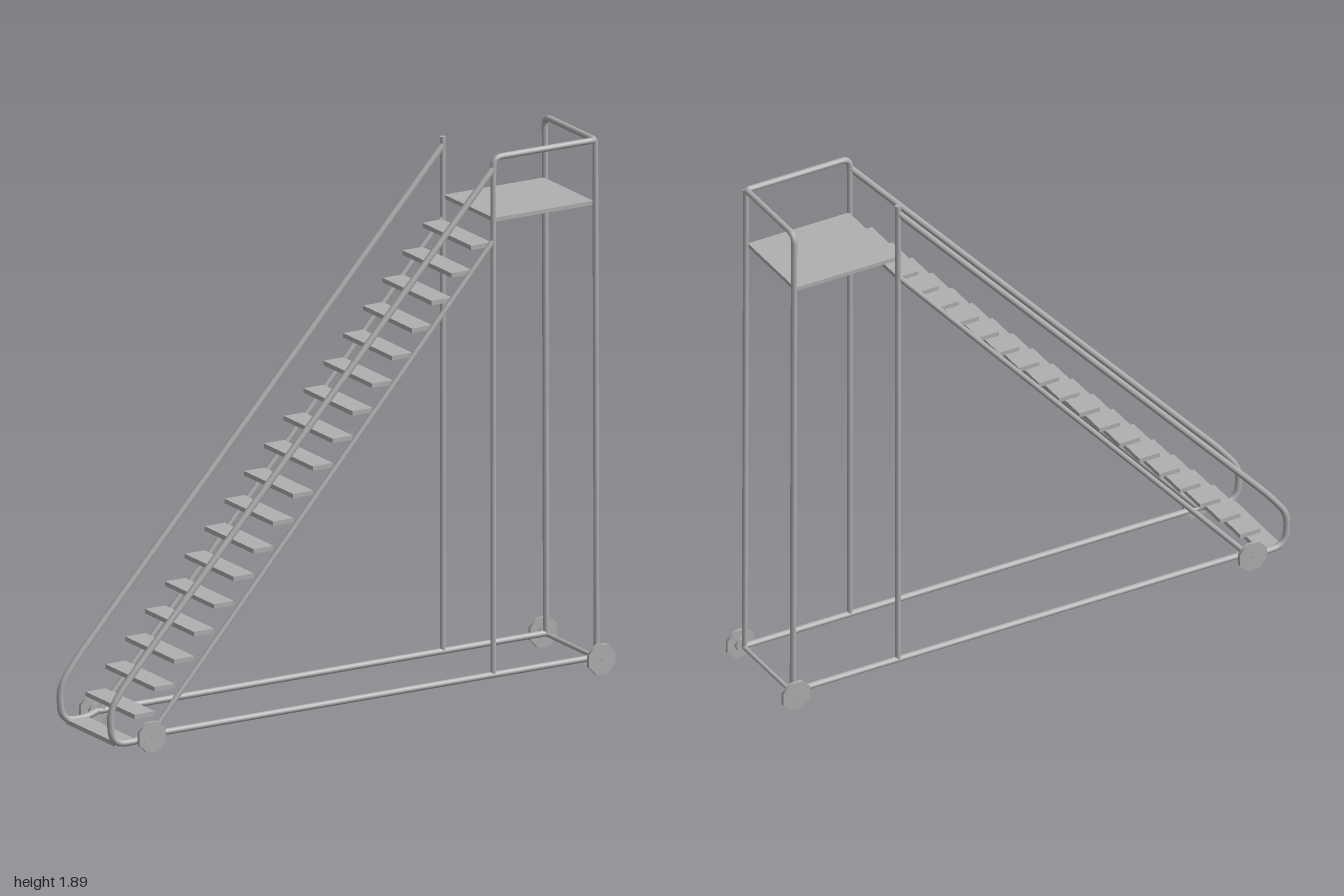
import * as THREE from 'three';
import { mergeGeometries } from 'three/addons/utils/BufferGeometryUtils.js';

const SIDE_Z = 0.165; // side frames sit at +z and -z

// Straight capped pipe between two points
function rod(a, b, r) {
  const dir = b.clone().sub(a);
  const g = new THREE.CylinderGeometry(r, r, dir.length(), 10);
  g.applyQuaternion(new THREE.Quaternion().setFromUnitVectors(new THREE.Vector3(0, 1, 0), dir.normalize()));
  const m = a.clone().add(b).multiplyScalar(0.5);
  return g.translate(m.x, m.y, m.z);
}

// Bent pipe: straight runs joined by rounded corners; each point is [x, y, z, bend]
function pipe(points, r) {
  const p = points.map((q) => new THREE.Vector3(q[0], q[1], q[2]));
  const parts = [];
  let start = p[0];
  for (let i = 1; i < p.length; i++) {
    if (i === p.length - 1) {
      parts.push(rod(start, p[i], r));
      break;
    }
    const bend = points[i][3];
    const before = p[i].clone().add(p[i - 1].clone().sub(p[i]).setLength(bend));
    const after = p[i].clone().add(p[i + 1].clone().sub(p[i]).setLength(bend));
    parts.push(rod(start, before, r));
    parts.push(new THREE.TubeGeometry(new THREE.QuadraticBezierCurve3(before, p[i], after), 10, r, 10));
    start = after;
  }
  return mergeGeometries(parts);
}

export function createModel() {
  const model = new THREE.Group();
  model.name = 'rollingStairs';
  const steel = new THREE.MeshStandardMaterial({ color: 0xb0b0b0 });
  steel.name = 'grey steel';

  function add(name, geometry, x = 0, y = 0, z = 0) {
    const mesh = new THREE.Mesh(geometry, steel);
    mesh.name = name;
    mesh.position.set(x, y, z);
    model.add(mesh);
    return mesh;
  }

  // Treads, climbing towards +x
  const tread = new THREE.BoxGeometry(0.08, 0.016, 0.32);
  for (let i = 0; i < 19; i++) add('tread', tread, -0.93 + i * 0.0785, 0.047 + i * 0.0855, 0);

  // Platform
  add('platform', new THREE.BoxGeometry(0.395, 0.014, 0.325), 0.729, 1.672, 0);

  // Mirrored side frames
  for (const s of [1, -1]) {
    const z = s * SIDE_Z;
    add('handrail', pipe([
      [0.527, 1.856, z], [-0.925, 0.262, z, 0.07], [-0.993, 0.17, z, 0.045],
      [-0.985, 0.048, z, 0.055], [-0.89, 0.048, z, 0.02], [-0.84, 0.065, z],
    ], 0.012));
    add('stringer', pipe([[-0.825, 0.07, z], [0.525, 1.598, z]], 0.01));
    add('baseRail', pipe([[-0.84, 0.063, z], [0.94, 0.065, z]], 0.011));
    add('innerPost', pipe([[0.527, 0.065, z], [0.527, s > 0 ? 1.86 : 1.885, z]], 0.01));
  }

  // Guard rail around the +z and +x sides of the platform, running down into the rear post
  add('guardRail', pipe([
    [0.527, 1.84, SIDE_Z], [0.527, 1.894, SIDE_Z, 0.035], [0.932, 1.894, SIDE_Z, 0.018],
    [0.932, 1.894, -SIDE_Z, 0.035], [0.937, 0.065, -SIDE_Z],
  ], 0.011));
  add('outerPost', pipe([[0.937, 0.065, SIDE_Z], [0.932, 1.894, SIDE_Z]], 0.01));
  add('rearCrossbar', pipe([[0.94, 0.06, -SIDE_Z], [0.94, 0.06, SIDE_Z]], 0.008));

  // Eight-sided wheels with hub and axle pin
  const disc = new THREE.CylinderGeometry(0.057, 0.057, 0.012, 8).rotateY(Math.PI / 8).rotateX(Math.PI / 2);
  const hub = new THREE.CylinderGeometry(0.025, 0.025, 0.018, 8).rotateX(Math.PI / 2);
  const pin = new THREE.CylinderGeometry(0.005, 0.005, 0.045, 8).rotateX(Math.PI / 2);
  for (const x of [-0.842, 0.94]) {
    for (const s of [1, -1]) {
      add('wheel', disc, x, 0.063, s * 0.191);
      add('wheelHub', hub, x, 0.063, s * 0.183);
      add('axlePin', pin, x, 0.063, s * 0.178);
    }
  }
  return model;
}
